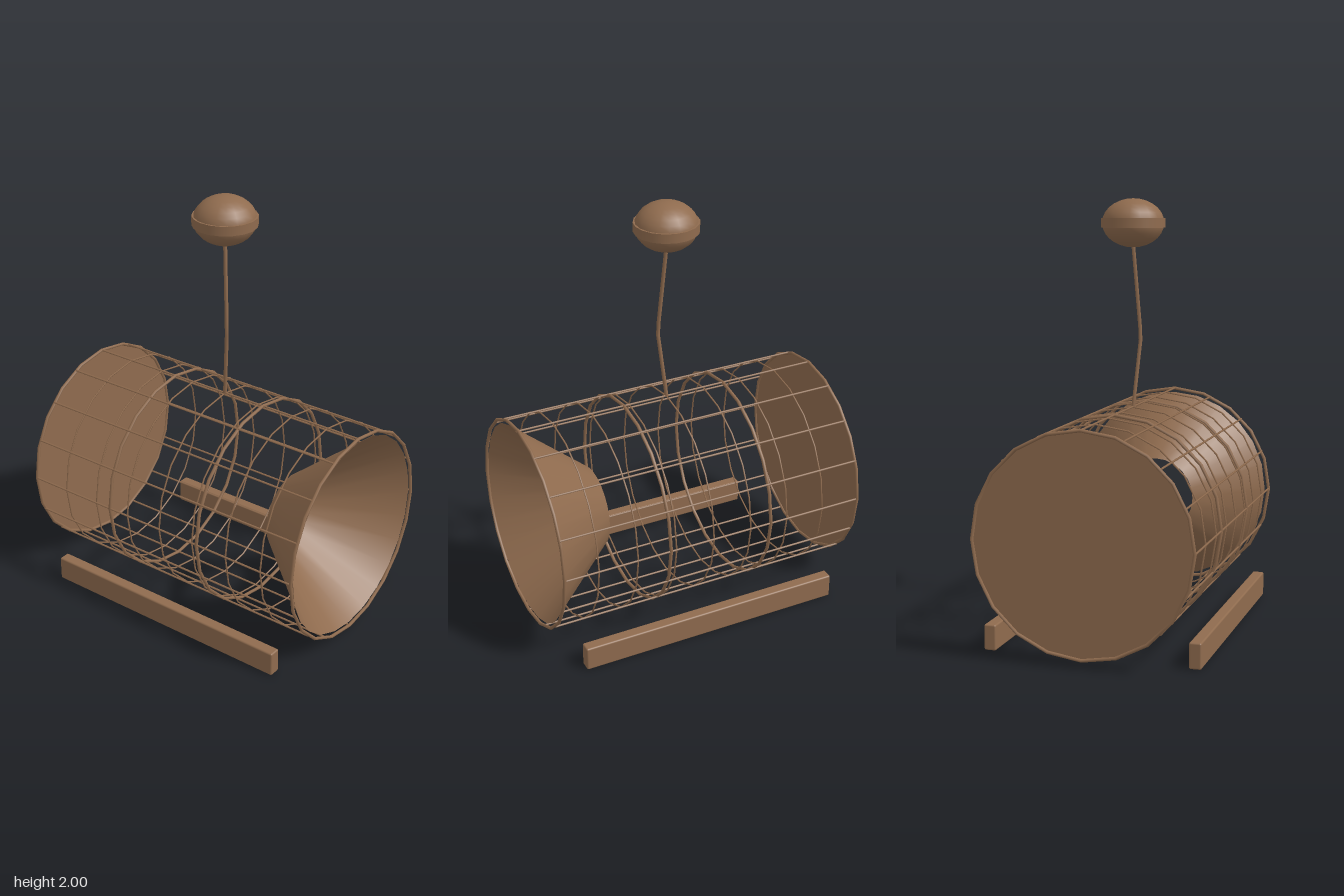
import * as THREE from 'three';
import { RoundedBoxGeometry } from 'three/addons/geometries/RoundedBoxGeometry.js';

export function createModel() {
  const wood = new THREE.MeshStandardMaterial({ color: 0x8f6b4e, side: THREE.DoubleSide });
  wood.name = 'weathered brown';
  const model = new THREE.Group();
  model.name = 'basketTrap';
  const R = 0.5, CY = 0.533, FRONT = 0.752, BACK = -0.752, SIDES = 20;

  const add = (name, geometry, x = 0, y = 0, z = 0, parent = model) => {
    const mesh = new THREE.Mesh(geometry, wood);
    mesh.name = name;
    mesh.position.set(x, y, z);
    parent.add(mesh);
    return mesh;
  };

  const cage = new THREE.Group();
  cage.name = 'cage';
  cage.position.y = CY;
  model.add(cage);

  // Heavy hoops
  for (const z of [FRONT, 0.233, -0.282, BACK]) {
    add('hoop', new THREE.TorusGeometry(R, 0.008, 6, SIDES), 0, 0, z, cage);
  }

  // Thin mesh rings
  for (let i = 0; i < 7; i++) {
    add('meshRing', new THREE.TorusGeometry(R - 0.002, 0.004, 5, SIDES), 0, 0, 0.587 - i * 0.191, cage);
  }

  // Lengthwise wires
  for (let i = 0; i < 16; i++) {
    const a = (i / 16) * Math.PI * 2;
    const wire = new THREE.CylinderGeometry(0.005, 0.005, FRONT - BACK, 5).rotateX(Math.PI / 2);
    add('lengthWire', wire, R * Math.cos(a), R * Math.sin(a), 0, cage);
  }

  // Entrance funnel, open at both ends
  const funnel = new THREE.CylinderGeometry(0.48, 0.19, 0.352, 24, 1, true).rotateX(Math.PI / 2);
  add('entranceFunnel', funnel, 0, 0, 0.574, cage);

  // Closed back end
  add('backPanel', new THREE.CircleGeometry(R, SIDES).rotateY(Math.PI), 0, 0, BACK, cage);

  // Runners
  for (const side of [-1, 1]) {
    add('runner', new RoundedBoxGeometry(0.056, 0.118, 1.29, 2, 0.008), side * 0.472, 0.059, 0.014);
  }

  // Bent line up to the float
  const rope = new THREE.CurvePath();
  const knots = [[0, 1.03, 0.014], [-0.028, 1.36, 0.046], [0, 1.79, 0.014]].map(p => new THREE.Vector3(...p));
  rope.add(new THREE.LineCurve3(knots[0], knots[1]));
  rope.add(new THREE.LineCurve3(knots[1], knots[2]));
  add('floatLine', new THREE.TubeGeometry(rope, 12, 0.009, 6, false));

  // Float with a band round its middle
  const float = new THREE.SphereGeometry(0.144, 18, 14).scale(1, 0.78, 1);
  add('float', float, 0, 1.888, 0.014);
  add('floatBand', new THREE.CylinderGeometry(0.149, 0.149, 0.044, 18), 0, 1.888, 0.014);

  return model;
}
